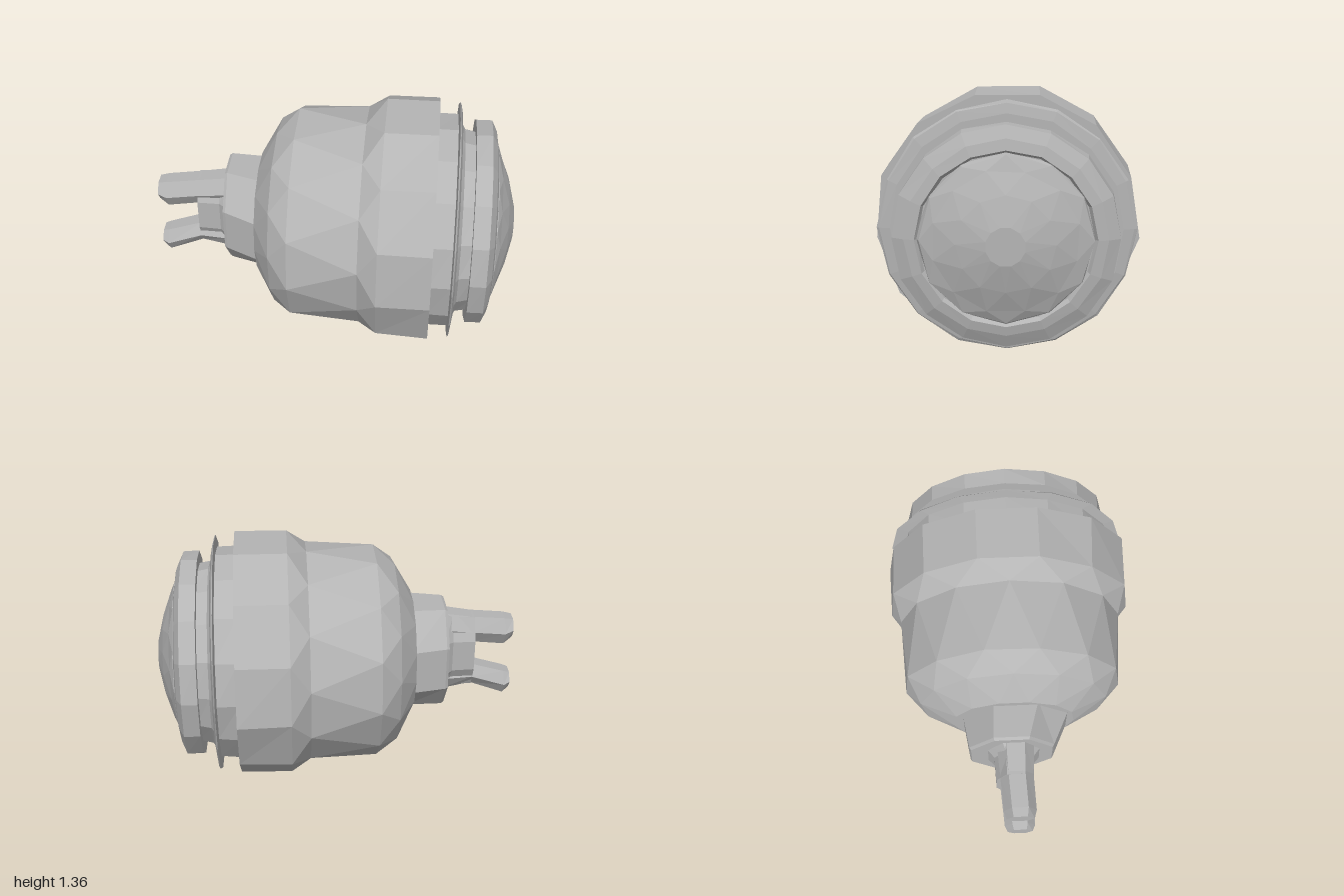
import * as THREE from 'three';

const CY = 0.69; // height of the long axis

// Small repeatable wobble in the range -1..1
function makeWobble(seed) {
  let s = seed;
  return () => {
    s = (s * 16807) % 2147483647;
    return (s / 2147483647) * 2 - 1;
  };
}

// Faceted skin over rings across the x axis.
// ring: [x, centreY, centreZ, radiusY, radiusZ, phase in steps]
function loft(rings, sides, rough = 0, seed = 7) {
  const wobble = makeWobble(seed);
  const loops = rings.map(([x, cy, cz, ry, rz, phase = 0]) =>
    Array.from({ length: sides }, (_, i) => {
      const a = ((i + phase) / sides) * Math.PI * 2;
      const k = 1 + rough * wobble();
      return [x, cy + ry * k * Math.cos(a), cz + rz * k * Math.sin(a)];
    }));
  const pos = [];
  const tri = (a, b, c) => pos.push(...a, ...b, ...c);
  for (let j = 0; j + 1 < loops.length; j++) {
    const p = loops[j], q = loops[j + 1];
    const shift = (rings[j + 1][5] || 0) - (rings[j][5] || 0);
    for (let i = 0; i < sides; i++) {
      const n = (i + 1) % sides;
      if (shift < 0) {
        tri(p[i], q[n], q[i]);
        tri(p[i], p[n], q[n]);
      } else {
        tri(p[i], p[n], q[i]);
        tri(p[n], q[n], q[i]);
      }
    }
  }
  // end caps
  const first = loops[0], last = loops[loops.length - 1];
  const c0 = rings[0].slice(0, 3), c1 = rings[rings.length - 1].slice(0, 3);
  for (let i = 0; i < sides; i++) {
    const n = (i + 1) % sides;
    tri(c0, first[n], first[i]);
    tri(c1, last[i], last[n]);
  }
  const g = new THREE.BufferGeometry();
  g.setAttribute('position', new THREE.Float32BufferAttribute(pos, 3));
  g.computeVertexNormals();
  return g;
}

// Round rings on the main axis: [x, radius, phase]
const round = (list) => list.map(([x, r, ph = 0]) => [x, CY, 0, r, r, ph]);

export function createModel() {
  const group = new THREE.Group();
  const grey = new THREE.MeshStandardMaterial({ color: 0xb4b4b4 });
  grey.name = 'grey metal';
  const add = (name, geometry) => {
    const mesh = new THREE.Mesh(geometry, grey);
    mesh.name = name;
    group.add(mesh);
  };

  // Barrel with rounded rear shoulder and raised collar
  add('body', loft(round([
    [-0.42, 0.34, 0.5], [-0.32, 0.52, 0], [-0.21, 0.605, 0.5],
    [0.165, 0.615, 0], [0.27, 0.685, 0.5], [0.555, 0.69, 0.5],
  ]), 13, 0.012, 11));

  // Neck between collar and flange
  add('neck', loft(round([[0.54, 0.605], [0.66, 0.6]]), 16, 0.008, 23));

  // Thin flange
  add('flange', loft(round([[0.658, 0.6], [0.664, 0.665], [0.672, 0.655], [0.682, 0.6]]), 16, 0.008, 31));

  // Groove behind the front disc
  add('groove', loft(round([[0.67, 0.57], [0.7, 0.52], [0.78, 0.5]]), 16, 0.008, 41));

  // Front disc with recessed seat for the dome
  add('frontDisc', loft(round([
    [0.758, 0.575], [0.845, 0.575], [0.875, 0.51], [0.885, 0.455], [0.86, 0.44],
  ]), 16, 0.006, 53));

  // Shallow faceted dome
  add('dome', loft(round([
    [0.85, 0.45], [0.89, 0.435], [0.915, 0.37, 0.5], [0.96, 0.25], [0.998, 0.1, 0.5],
  ]), 12, 0.015, 61));

  // Stub at the rear
  add('rearStub', loft([
    [-0.61, 0.68, -0.02, 0.315, 0.24, 0.5],
    [-0.595, 0.68, -0.02, 0.325, 0.25, 0.5],
    [-0.4, 0.675, 0.01, 0.325, 0.315, 0.5],
  ], 8));

  // Block carrying the prongs
  add('prongBase', loft([
    [-0.775, 0.685, -0.01, 0.23, 0.11, 0.5],
    [-0.65, 0.685, -0.01, 0.235, 0.115, 0.5],
    [-0.59, 0.68, -0.01, 0.27, 0.17, 0.5],
  ], 8));

  // Two prongs
  add('upperProng', loft([
    [-0.998, 0.812, 0.01, 0.063, 0.075, 0.5],
    [-0.95, 0.797, 0.01, 0.092, 0.088, 0.5],
    [-0.76, 0.82, 0, 0.09, 0.09, 0.5],
    [-0.61, 0.84, 0, 0.095, 0.1, 0.5],
  ], 6));
  add('lowerProng', loft([
    [-1, 0.475, 0.01, 0.055, 0.07, 0.5],
    [-0.965, 0.465, 0.01, 0.08, 0.085, 0.5],
    [-0.77, 0.535, 0, 0.07, 0.09, 0.5],
    [-0.61, 0.53, 0, 0.1, 0.1, 0.5],
  ], 6));

  return group;
}
